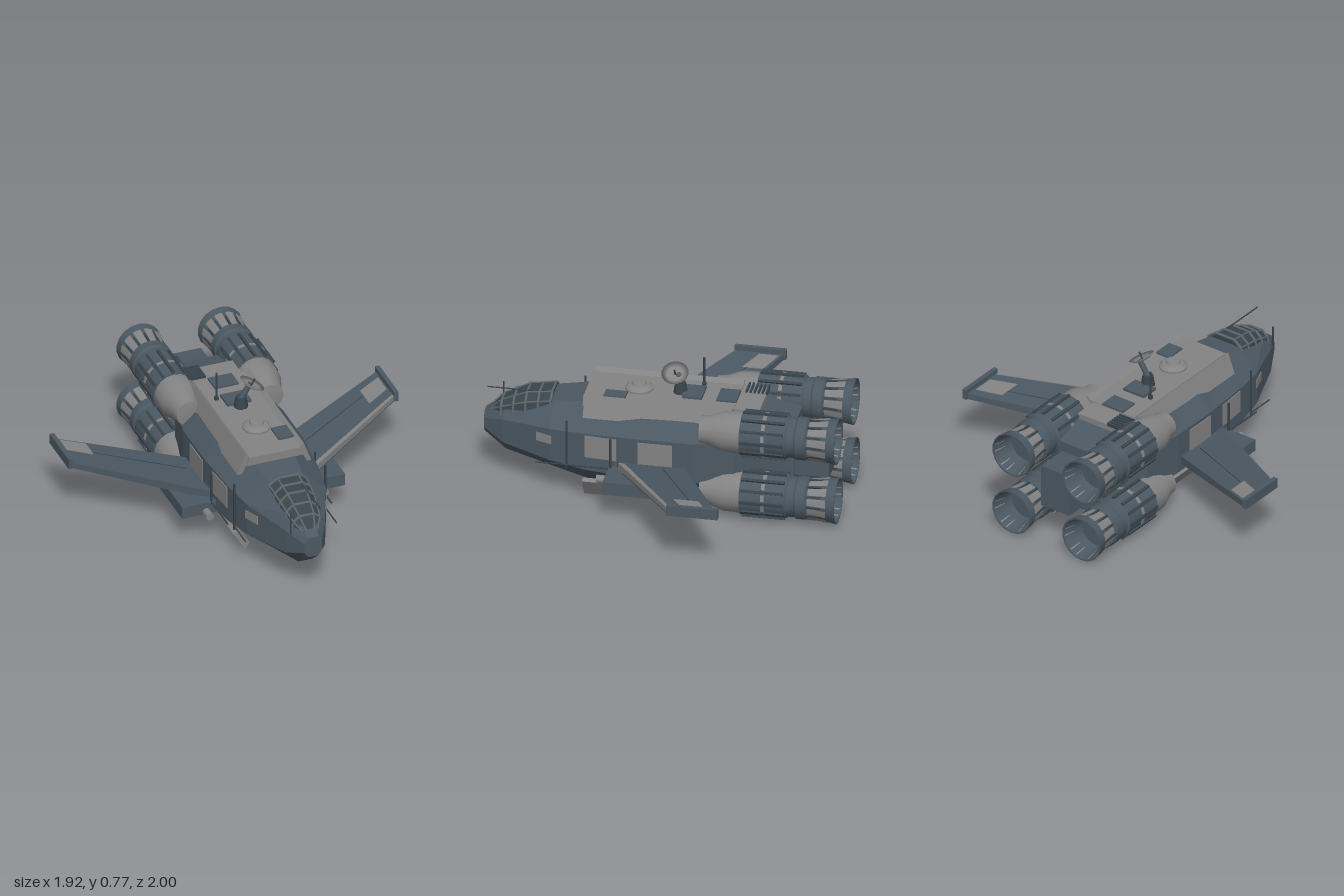
import * as THREE from 'three';
import { toCreasedNormals, mergeGeometries } from 'three/addons/utils/BufferGeometryUtils.js';

const mat = (name, color) => Object.assign(new THREE.MeshStandardMaterial({ color }), { name });

// Flat-faced solid through rings of [x,y,z]; rings run counter-clockwise seen from the first one
function loft(rings) {
  const out = [], n = rings[0].length;
  const tri = (...p) => p.forEach(q => out.push(...q));
  for (let r = 0; r + 1 < rings.length; r++) {
    const a = rings[r], b = rings[r + 1];
    for (let i = 0; i < n; i++) {
      const j = (i + 1) % n;
      tri(a[i], b[i], b[j]);
      tri(a[i], b[j], a[j]);
    }
  }
  const f = rings[0], l = rings[rings.length - 1];
  for (let i = 1; i + 1 < n; i++) {
    tri(f[0], f[i], f[i + 1]);
    tri(l[0], l[i + 1], l[i]);
  }
  const g = new THREE.BufferGeometry();
  g.setAttribute('position', new THREE.Float32BufferAttribute(out, 3));
  g.computeVertexNormals();
  return g;
}

// Mirrored copy across x = 0 with the corner order restored
function mirror(geo) {
  const g = geo.index ? geo.toNonIndexed() : geo.clone();
  for (const key of ['position', 'normal']) {
    const a = g.attributes[key];
    for (let i = 0; i < a.count; i += 3) {
      const p = [0, 2, 1].map(k => [-a.getX(i + k), a.getY(i + k), a.getZ(i + k)]);
      p.forEach((v, k) => a.setXYZ(i + k, ...v));
    }
  }
  return g;
}

const box = (x0, x1, y0, y1, z0, z1) =>
  new THREE.BoxGeometry(x1 - x0, y1 - y0, z1 - z0).translate((x0 + x1) / 2, (y0 + y1) / 2, (z0 + z1) / 2);

function rod(a, b, r, sides = 6) {
  const A = new THREE.Vector3(...a), d = new THREE.Vector3(...b).sub(A);
  const q = new THREE.Quaternion().setFromUnitVectors(new THREE.Vector3(0, 1, 0), d.clone().normalize());
  return new THREE.CylinderGeometry(r, r, d.length(), sides).applyQuaternion(q).translate(...A.addScaledVector(d, 0.5));
}

// Lathe along the body axis: points are [radius, distance towards the tail]
const turned = (pts, sides = 18, start = 0, len = Math.PI * 2) => toCreasedNormals(
  new THREE.LatheGeometry(pts.map(p => new THREE.Vector2(...p)), sides, start, len).rotateX(-Math.PI / 2), 0.5);

// Hull stations: z, top half width, middle half width, bottom half width, y of top, upper edge, lower edge, bottom
const stations = [
  [1, 0.03, 0.05, 0.03, 0.38, 0.345, 0.29, 0.26],
  [0.88, 0.06, 0.115, 0.04, 0.46, 0.38, 0.24, 0.165],
  [0.6, 0.10, 0.23, 0.09, 0.52, 0.41, 0.22, 0.11],
  [0.4, 0.12, 0.265, 0.12, 0.545, 0.42, 0.2, 0.07],
  [0.1, 0.15, 0.29, 0.13, 0.57, 0.43, 0.19, 0.04],
  [-0.2, 0.15, 0.29, 0.13, 0.575, 0.43, 0.19, 0.04],
  [-0.42, 0.14, 0.25, 0.13, 0.565, 0.43, 0.19, 0.05],
  [-0.55, 0.125, 0.14, 0.125, 0.55, 0.43, 0.2, 0.08],
  [-0.73, 0.115, 0.12, 0.11, 0.51, 0.42, 0.21, 0.13],
];
const hullRing = ([z, t, m, b, yt, yu, yl, yb]) =>
  [[b, yb, z], [m, yl, z], [m, yu, z], [t, yt, z], [-t, yt, z], [-m, yu, z], [-m, yl, z], [-b, yb, z]];
function hullWidth(z) {
  const i = stations.findIndex(s => s[0] <= z), a = stations[i - 1], b = stations[i];
  return THREE.MathUtils.lerp(a[2], b[2], (a[0] - z) / (a[0] - b[0]));
}

export function createModel() {
  const root = new THREE.Group();
  const slate = mat('slate', 0x4b5862), grey = mat('light grey', 0x838383);
  const dark = mat('dark slate', 0x39444c), steel = mat('steel', 0x5f676c);
  const add = (name, geo, m) => {
    const mesh = new THREE.Mesh(geo, m);
    mesh.name = name;
    root.add(mesh);
  };
  const pair = (name, geo, m) => {
    add(name + 'Left', geo, m);
    add(name + 'Right', mirror(geo), m);
  };

  // Hull and tail block
  add('hull', loft(stations.map(hullRing)), slate);
  add('tailBlock', box(-0.095, 0.095, 0.2, 0.45, -0.92, -0.7), slate);
  add('keel', box(-0.12, 0.12, 0.035, 0.06, -0.4, 0.2), dark);

  // Upper deck and armour along the four hull shoulders
  const deck = z => [[0.165, 0.54, z], [0.15, 0.59, z], [-0.15, 0.59, z], [-0.165, 0.54, z]];
  add('deck', loft([deck(0.43), deck(-0.4)]), grey);
  add('deckTail', box(-0.16, 0.13, 0.53, 0.585, -0.54, -0.39), grey);
  const upper = z => [[0.19, 0.49, z], [0.215, 0.49, z], [0.17, 0.61, z], [0.14, 0.585, z]];
  pair('upperArmour', loft([upper(0.42), upper(-0.4)]), grey);
  const lower = z => [[0.17, 0.005, z], [0.235, 0.11, z], [0.215, 0.125, z], [0.145, 0.045, z]];
  pair('lowerArmour', loft([lower(0.42), lower(-0.7)]), grey);

  // Painted side panels
  for (const [z0, z1, y0, y1] of [[0.4, 0.22, 0.28, 0.41], [0.1, -0.09, 0.28, 0.41], [0.68, 0.59, 0.32, 0.37]]) {
    const ring = z => {
      const w = hullWidth(z);
      return [[w - 0.003, y0, z], [w + 0.005, y0, z], [w + 0.005, y1, z], [w - 0.003, y1, z]];
    };
    pair('sidePanel', loft([ring(z0), ring(z1)]), grey);
  }

  // Canopy with frame hoops: z, half width, base y, top y
  const canopy = [[0.96, 0.045, 0.37, 0.405], [0.9, 0.085, 0.39, 0.465], [0.76, 0.11, 0.43, 0.53], [0.62, 0.12, 0.46, 0.55]];
  const arch = ([z, w, y0, y1]) => [[w, y0, z], [w * 0.9, (y0 + y1) / 2 + 0.01, z], [w * 0.5, y1, z],
    [-w * 0.5, y1, z], [-w * 0.9, (y0 + y1) / 2 + 0.01, z], [-w, y0, z]];
  add('canopy', loft(canopy.map(arch)), dark);
  const frame = [];
  for (const c of [canopy[1], [0.83, 0.1, 0.41, 0.5], canopy[2], [0.69, 0.115, 0.445, 0.54], canopy[3]]) {
    const p = arch(c);
    for (let i = 0; i < 5; i++) frame.push(rod(p[i], p[i + 1], 0.008));
  }
  for (let k = 1; k < 5; k++)
    for (let i = 0; i < 3; i++) frame.push(rod(arch(canopy[i])[k], arch(canopy[i + 1])[k], 0.006));
  add('canopyFrame', mergeGeometries(frame), steel);
  add('noseProbe', rod([0.05, 0.54, 0.62], [0.05, 0.54, 0.98], 0.004), dark);
  add('noseMast', rod([-0.1, 0.38, 0.92], [-0.1, 0.5, 0.92], 0.005), dark);

  // Wings, with a point rule: u runs root to tip, v leading to trailing edge
  const mix = THREE.MathUtils.lerp;
  const wingPoint = (u, v, h) => [mix(0.26, 0.945, u), mix(0.225, 0.34, u) + h * mix(0.05, 0.035, u),
    mix(mix(0.23, -0.2, u), mix(-0.15, -0.465, u), v)];
  const wingRing = (u, v0, v1, h0, h1) =>
    [wingPoint(u, v1, h0), wingPoint(u, v1, h1), wingPoint(u, v0, h1), wingPoint(u, v0, h0)];
  const wingPart = (u0, u1, v0, v1, h0, h1) => loft([wingRing(u1, v0, v1, h0, h1), wingRing(u0, v0, v1, h0, h1)]);
  pair('wing', wingPart(0, 1, 0, 1, 0, 1), slate);
  pair('wingTip', box(0.935, 0.96, 0.34, 0.4, -0.475, -0.19), slate);
  add('wingPanelLeft', wingPart(0.78, 0.97, 0.32, 0.8, 0.9, 1.1), grey);
  add('wingPanelRight', mirror(wingPart(0.77, 0.96, 0.55, 0.95, 0.9, 1.1)), grey);
  add('leadingStripLeft', wingPart(0.08, 0.98, -0.02, 0.07, 0.3, 1.1), grey);
  pair('flapSeam', wingPart(0.1, 0.95, 0.62, 0.635, 0.9, 1.06), dark);

  // Side pods with guns
  pair('sidePod', box(0.25, 0.475, 0.175, 0.245, -0.07, 0.26), slate);
  pair('gun', rod([0.335, 0.19, 0.1], [0.335, 0.19, 0.32], 0.022, 10), grey);

  // Side masts and rails
  pair('frontMast', rod([0.265, 0.2, 0.5], [0.265, 0.49, 0.5], 0.006), dark);
  pair('rearMast', rod([0.302, 0.24, 0.25], [0.302, 0.42, 0.25], 0.006), dark);
  pair('sideRail', rod([0.302, 0.24, 0.5], [0.302, 0.24, 0.2], 0.005), dark);
  pair('frontRail', rod([0.265, 0.22, 0.67], [0.265, 0.22, 0.5], 0.004), dark);

  // Engines
  const shroud = turned([[0, 0.23], [0.075, 0.24], [0.082, 0.29], [0.112, 0.37], [0.116, 0.48]]);
  const barrel = turned([[0.1, 0.47], [0.122, 0.47], [0.122, 0.72], [0.112, 0.73], [0.112, 0.77],
    [0.12, 0.78], [0.12, 0.83], [0.108, 0.84]]);
  const bell = turned([[0.106, 0.83], [0.11, 0.88], [0.13, 1], [0.122, 1], [0.1, 0.9], [0.096, 0.87], [0, 0.87]]);
  const ribs = [], petals = [], dashes = [];
  for (let i = 0; i < 12; i++) {
    const a = i * Math.PI / 6;
    ribs.push(box(-0.008, 0.008, 0.115, 0.132, -0.715, -0.475).rotateZ(a));
    ribs.push(box(-0.005, 0.005, 0.105, 0.118, -0.92, -0.84).rotateZ(a));
    petals.push(turned([[0.1095, 0.845], [0.1135, 0.88], [0.1255, 0.95]], 2, a + 0.08, 0.36));
    petals.push(turned([[0.1195, 0.99], [0.1045, 0.92]], 2, a + 0.08, 0.36));
    dashes.push(box(-0.018, 0.018, 0.118, 0.1245, -0.61, -0.59).rotateZ(a + Math.PI / 12));
  }
  const engine = { shroud: [shroud, grey], barrel: [barrel, slate], bell: [bell, slate],
    ribs: [mergeGeometries(ribs), dark], petals: [mergeGeometries(petals), grey], dashes: [mergeGeometries(dashes), grey] };
  for (const [level, y] of [['upper', 0.503], ['lower', 0.14]])
    for (const [part, [geo, m]] of Object.entries(engine))
      pair(level + 'Engine_' + part, geo.clone().translate(0.237, y, 0), m);

  // Deck fittings
  add('hatchRear', box(-0.07, 0.07, 0.58, 0.6, -0.4, -0.29), slate);
  add('hatchMiddle', box(-0.07, 0.07, 0.58, 0.605, -0.21, -0.1), slate);
  add('hatchFront', box(0.065, 0.155, 0.575, 0.6, 0.2, 0.32), slate);
  for (let i = 0; i < 6; i++)
    add('ventSlat', box(-0.17, -0.07, 0.58, 0.6, -0.545 + i * 0.022, -0.535 + i * 0.022), dark);
  const dome = new THREE.LatheGeometry([[0.078, 0.58], [0.078, 0.6], [0.06, 0.615], [0.042, 0.618], [0.036, 0.632], [0, 0.635]]
    .map(p => new THREE.Vector2(...p)), 14);
  add('turretDome', toCreasedNormals(dome, 0.4).translate(0, 0, 0.15), grey);
  add('rearAerial', rod([-0.1, 0.58, -0.19], [-0.1, 0.76, -0.19], 0.006), dark);
  add('rearAerialFoot', box(-0.11, -0.09, 0.58, 0.61, -0.2, -0.18), dark);

  // Dish on a tilted arm
  add('dishBase', new THREE.CylinderGeometry(0.03, 0.04, 0.06, 10).translate(0, 0.62, -0.08), dark);
  add('dishArm', rod([0, 0.64, -0.08], [0.055, 0.725, -0.08], 0.016, 8), slate);
  const dish = new THREE.LatheGeometry([[0, -0.018], [0.045, -0.01], [0.075, 0.006], [0.045, -0.004], [0, -0.01]]
    .map(p => new THREE.Vector2(...p)), 14);
  add('dish', dish.rotateZ(-0.51).translate(0.055, 0.73, -0.06), grey);
  add('dishFeed', rod([0.05, 0.72, -0.06], [0.073, 0.76, -0.06], 0.005), dark);

  return root;
}
